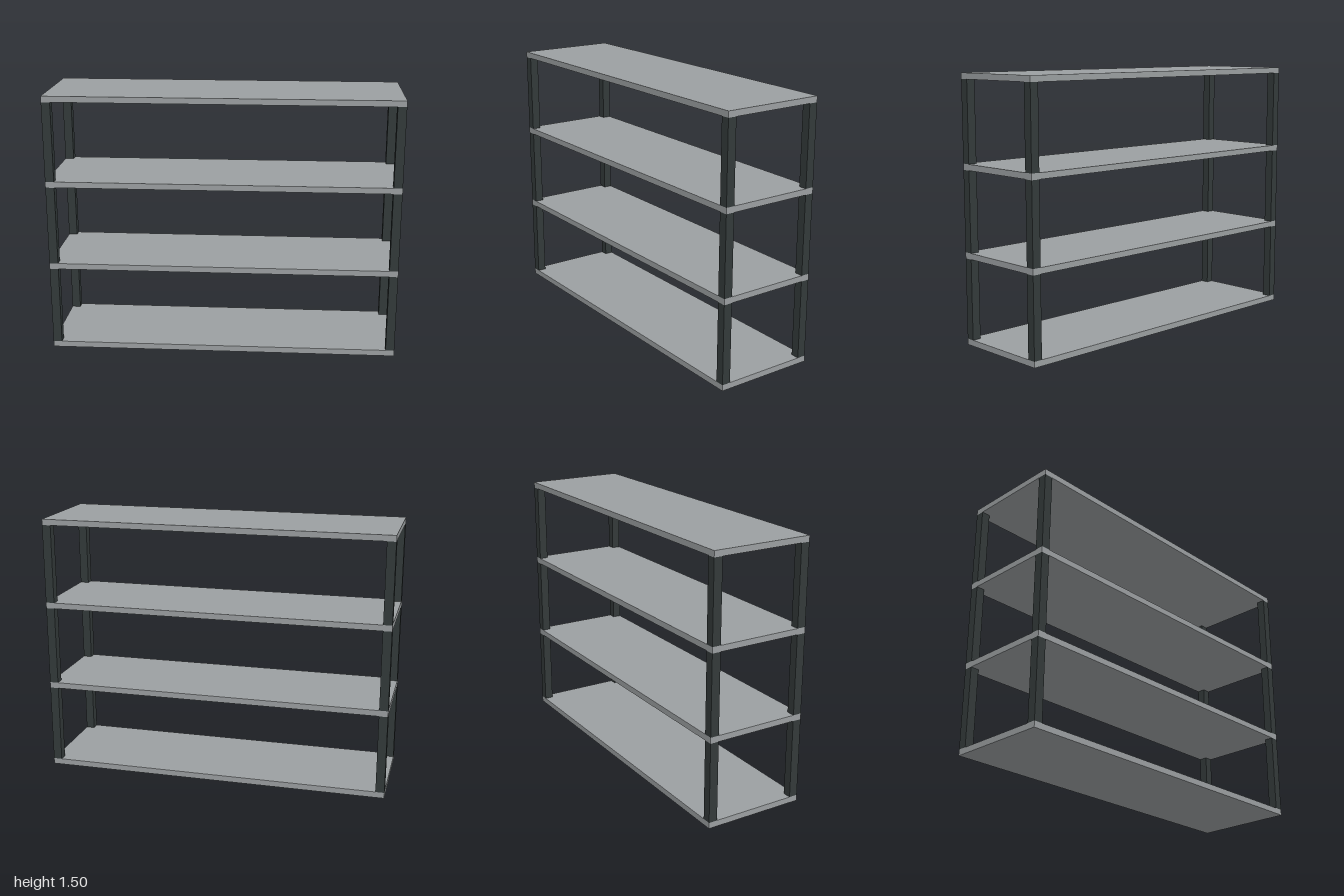
import * as THREE from 'three';

const WIDTH = 2, DEPTH = 0.584, HEIGHT = 1.5;
const BOARD = 0.034, POST = 0.05, LEVELS = 4;

export function createModel() {
  const group = new THREE.Group();
  group.name = 'shelvingUnit';

  const boardGrey = new THREE.MeshStandardMaterial({ color: 0x9b9fa1 });
  boardGrey.name = 'board grey';
  const postDark = new THREE.MeshStandardMaterial({ color: 0x333a3a });
  postDark.name = 'post dark grey';

  const pitch = (HEIGHT - BOARD) / (LEVELS - 1);
  const boardGeometry = new THREE.BoxGeometry(WIDTH, BOARD, DEPTH);
  const postGeometry = new THREE.BoxGeometry(POST, pitch - BOARD, POST);

  for (let i = 0; i < LEVELS; i++) {
    // Shelf boards, evenly spaced from floor to top
    const y = BOARD / 2 + i * pitch;
    const shelf = new THREE.Mesh(boardGeometry, boardGrey);
    shelf.name = `shelf${i + 1}`;
    shelf.position.y = y;
    group.add(shelf);

    // Square corner posts filling the gap up to the next board
    if (i === LEVELS - 1) continue;
    for (const sx of [-1, 1]) {
      for (const sz of [-1, 1]) {
        const post = new THREE.Mesh(postGeometry, postDark);
        post.name = `${sz > 0 ? 'front' : 'back'}${sx > 0 ? 'Left' : 'Right'}Post${i + 1}`;
        post.position.set(sx * (WIDTH - POST) / 2, y + pitch / 2, sz * (DEPTH - POST) / 2);
        group.add(post);
      }
    }
  }
  return group;
}
